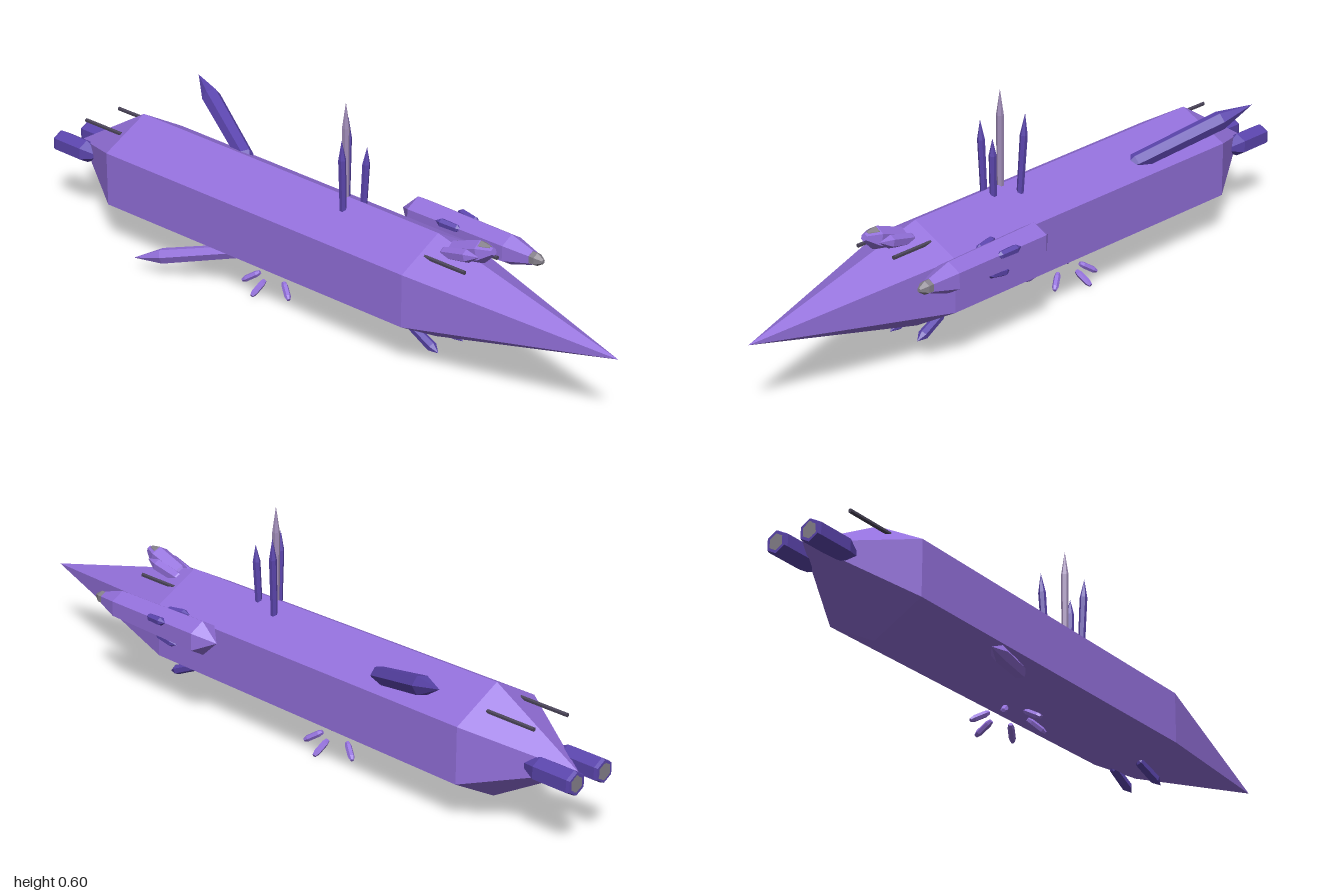
import * as THREE from 'three';

const mat = (name, color, extra = {}) => {
  const m = new THREE.MeshStandardMaterial({ color, flatShading: true, ...extra });
  m.name = name;
  return m;
};

export function createModel() {
  const violet = mat('violet', 0x9370db);
  const indigo = mat('indigo', 0x5b45ad);
  const grey = mat('grey', 0x85808a);
  const lilac = mat('greyLilac', 0xa08cb8);
  const dark = mat('darkGrey', 0x4a4458);
  const CX = -0.016, CY = 0.197;
  const model = new THREE.Group();
  model.name = 'crystalShip';

  // Six-sided solid along the line a -> b; profile is [fraction, radius] pairs
  const spindle = (name, material, a, b, profile, parent = model) => {
    const from = new THREE.Vector3(...a), to = new THREE.Vector3(...b);
    const dir = to.clone().sub(from), len = dir.length();
    const pts = profile.map(([t, r]) => new THREE.Vector2(r, t * len));
    const mesh = new THREE.Mesh(new THREE.LatheGeometry(pts, 6), material);
    mesh.name = name;
    mesh.position.copy(from);
    mesh.quaternion.setFromUnitVectors(new THREE.Vector3(0, 1, 0), dir.normalize());
    parent.add(mesh);
    return mesh;
  };
  const crystal = (r, start = 0.1, shoulder = 0.78) =>
    [[0, 0], [start, r * 0.9], [shoulder, r], [1, 0]];

  // Long hexagonal hull with pointed ends
  const hull = spindle('hull', violet, [CX, CY, -0.965], [CX, CY, 1],
    [[0, 0], [0.138, 0.154], [0.702, 0.145], [1, 0]]);
  hull.scale.x = 1.06;

  // Paired engines, probe rods and chin fins
  for (const s of [-1, 1]) {
    const x = CX + s * 0.051;
    spindle('engine', indigo, [x, CY, -1], [x, CY, -0.84],
      [[0, 0.022], [0, 0.03], [0.06, 0.033], [0.72, 0.033], [1, 0.012], [1, 0]]);
    spindle('engineNozzle', grey, [x, CY, -1], [x, CY, -0.993],
      [[0, 0], [0, 0.024], [1, 0.024], [1, 0]]);
    const rx = CX + s * 0.061;
    for (const [z0, z1] of [[-0.87, -0.72], [0.42, 0.56]])
      spindle('probeRod', dark, [rx, 0.3, z0], [rx, 0.3, z1],
        [[0, 0], [0, 0.006], [1, 0.006], [1, 0]]);
    spindle('chinFin', indigo, [CX + s * 0.04, 0.082, 0.36], [CX + s * 0.047, 0.038, 0.465],
      crystal(0.014));
  }

  // Bridge on the bow: tilted crystals with a grey canopy
  const bridge = new THREE.Group();
  bridge.name = 'bridge';
  model.add(bridge);
  spindle('bridgeBody', violet, [CX, 0.305, 0.45], [CX, 0.35, 0.6],
    [[0, 0], [0.15, 0.027], [0.75, 0.03], [1, 0.01], [1, 0]], bridge);
  spindle('canopy', grey, [CX, 0.318, 0.46], [CX, 0.357, 0.59],
    [[0, 0], [0.15, 0.016], [0.8, 0.019], [1, 0.006], [1, 0]], bridge);
  for (const s of [-1, 1])
    spindle('bridgeFlank', violet, [CX + s * 0.02, 0.3, 0.42], [CX + s * 0.027, 0.335, 0.575],
      crystal(0.018, 0.25, 0.75), bridge);

  // Escort pod beside the hull
  const pod = new THREE.Group();
  pod.name = 'escortPod';
  pod.position.set(0.171, 0.262, 0);
  model.add(pod);
  spindle('podBody', violet, [0, 0, 0.12], [0, 0, 0.57],
    [[0, 0], [0.12, 0.048], [0.84, 0.042], [1, 0.02], [1, 0]], pod);
  spindle('podTip', grey, [0, 0, 0.555], [0, 0, 0.605],
    [[0, 0], [0, 0.02], [0.6, 0.018], [1, 0.006], [1, 0]], pod);
  for (const deg of [30, 150, 275]) {
    const c = Math.cos(deg * Math.PI / 180), s = Math.sin(deg * Math.PI / 180);
    spindle('podFin', indigo, [c * 0.038, s * 0.038, 0.36], [c * 0.05, s * 0.05, 0.275],
      crystal(0.012, 0.2), pod);
  }

  // Dorsal spires: base, tip, material
  const spires = [
    [[CX, 0.32, 0.09], [CX, 0.605, 0.09], lilac],
    [[-0.05, 0.3, 0.115], [-0.06, 0.52, 0.118], indigo],
    [[0.001, 0.3, 0.137], [0.006, 0.49, 0.145], indigo],
    [[0.022, 0.3, 0.057], [0.035, 0.54, 0.05], indigo],
  ];
  for (const [a, b, m] of spires) spindle('spire', m, a, b, crystal(0.0105, 0.05, 0.75));

  // Two large crystal wings
  spindle('upperWing', indigo, [0.05, 0.282, -0.335], [0.208, 0.403, -0.71], crystal(0.027, 0.1, 0.75));
  spindle('lowerWing', violet, [-0.09, 0.118, -0.2], [-0.227, 0.04, -0.51], crystal(0.022, 0.1, 0.75));

  // Ring of six shards radiating below the hull
  for (let i = 0; i < 6; i++) {
    const c = Math.cos(i * Math.PI / 3), s = Math.sin(i * Math.PI / 3);
    spindle('keelShard', violet,
      [CX + c * 0.053, 0.035, -0.16 + s * 0.053], [CX + c * 0.103, 0.006, -0.16 + s * 0.103],
      [[0, 0], [0, 0.006], [0.2, 0.009], [0.8, 0.009], [1, 0.005], [1, 0]]);
  }
  return model;
}
